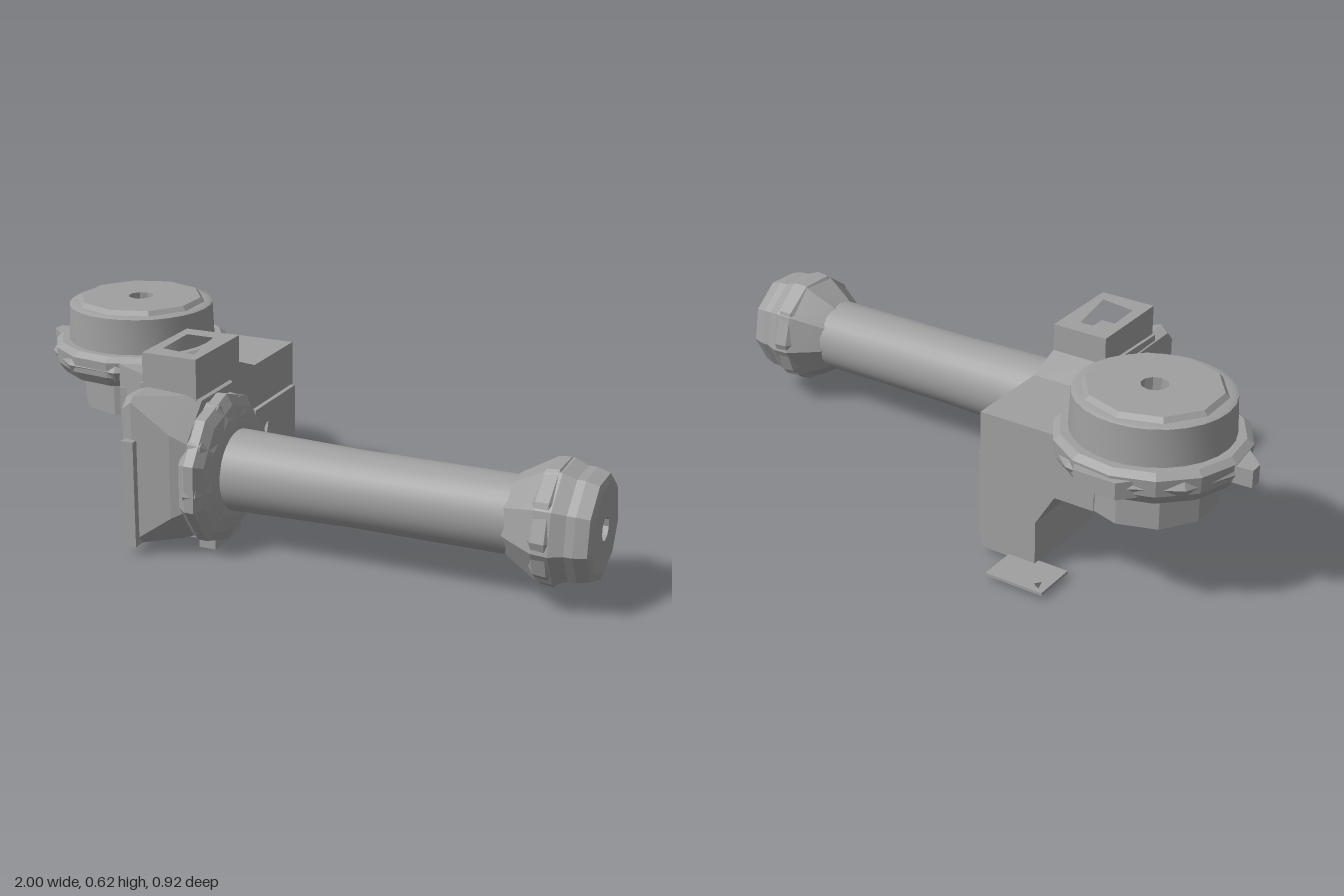
import * as THREE from 'three';
import { toCreasedNormals } from 'three/addons/utils/BufferGeometryUtils.js';

const grey = new THREE.MeshStandardMaterial({ color: 0xa0a0a0 });

export function createModel() {
  const model = new THREE.Group();

  const add = (name, geo, crease = 0.3) => {
    const mesh = new THREE.Mesh(toCreasedNormals(geo, crease), grey);
    mesh.name = name;
    model.add(mesh);
    return mesh;
  };
  // box from its min and max corners
  const box = (name, [x0, y0, z0], [x1, y1, z1]) => add(name,
    new THREE.BoxGeometry(x1 - x0, y1 - y0, z1 - z0)
      .translate((x0 + x1) / 2, (y0 + y1) / 2, (z0 + z1) / 2));
  const shapeOf = (pts, holes) => {
    const s = new THREE.Shape(pts.map(p => new THREE.Vector2(...p)));
    holes.forEach(h => s.holes.push(new THREE.Path(h.map(p => new THREE.Vector2(...p)))));
    return s;
  };
  const extrude = (shape, depth) => new THREE.ExtrudeGeometry(shape, { depth, bevelEnabled: false });
  // [z, y] outline pushed along x
  const extrudeX = (name, pts, x0, x1, holes = []) => {
    const flip = l => l.map(([z, y]) => [-z, y]);
    return add(name, extrude(shapeOf(flip(pts), holes.map(flip)), x1 - x0).rotateY(Math.PI / 2).translate(x0, 0, 0));
  };
  // [x, z] outline pushed along y
  const extrudeY = (name, pts, y0, y1, holes = []) => {
    const flip = l => l.map(([x, z]) => [x, -z]);
    return add(name, extrude(shapeOf(flip(pts), holes.map(flip)), y1 - y0).rotateX(-Math.PI / 2).translate(0, y0, 0));
  };
  const rect = (a0, b0, a1, b1) => [[a0, b0], [a1, b0], [a1, b1], [a0, b1]];
  const ngon = (a, b, r, n, turn = 0) => Array.from({ length: n }, (_, i) => {
    const t = turn + i / n * Math.PI * 2;
    return [a + r * Math.cos(t), b + r * Math.sin(t)];
  });
  const lathe = (profile, n, turn = 0) =>
    new THREE.LatheGeometry(profile.map(p => new THREE.Vector2(...p)), n, turn);
  // [radius, x] profile around the tube axis
  const AY = 0.235, AZ = 0.225;
  const latheX = (name, profile, n, turn, crease, tilt = 0) =>
    add(name, lathe(profile, n, turn).rotateZ(-Math.PI / 2 + tilt).translate(0, AY, AZ), crease);
  // [radius, y] profile around the turret axis
  const TX = -0.67, TZ = -0.165;
  const latheY = (name, profile, n, turn, crease) =>
    add(name, lathe(profile, n, turn).translate(TX, 0, TZ), crease);

  // long tube, slightly waisted
  latheX('tube', [[0.125, -0.2], [0.124, -0.1], [0.115, 0.25], [0.115, 0.85]], 28, 0, 0.6);

  // faceted knob with a blind hole at the free end
  latheX('knob', [[0.11, 0.73], [0.125, 0.75], [0.178, 0.84], [0.182, 0.89], [0.166, 0.93],
    [0.166, 0.955], [0.155, 0.993], [0.135, 1.0], [0.035, 1.0], [0.035, 0.95], [0, 0.95]], 9, 0.2, 0.2);
  latheX('knobRing', [[0.13, 0.8], [0.18, 0.84], [0.184, 0.88], [0.13, 0.92]], 10, 0, 0.2);

  // flange where the tube meets the housing
  latheX('flange', [[0.1, -0.24], [0.215, -0.22], [0.232, -0.195], [0.232, -0.165],
    [0.2, -0.145], [0.15, -0.13], [0.1, -0.125]], 10, 0.31, 0.2);
  latheX('flangeRing', [[0.15, -0.215], [0.226, -0.2], [0.22, -0.16], [0.17, -0.135], [0.1, -0.13]], 9, 0.1, 0.2);

  // housing body with two cut openings
  const holes = [ngon(-0.125, 0.245, 0.032, 5, Math.PI / 2), [[-0.255, 0.25], [-0.3, 0.275], [-0.272, 0.222]]];
  extrudeX('housing', [[0.325, 0.035], [-0.338, 0.035], [-0.338, 0.47], [-0.06, 0.47], [0.045, 0.51],
    [0.325, 0.5]], -0.4, -0.212, holes);
  extrudeX('sidePlate', rect(-0.325, 0.06, -0.035, 0.33), -0.212, -0.197, holes);

  // pocketed block on top of the housing
  extrudeY('topBlock', rect(-0.39, 0.045, -0.212, 0.325), 0.5, 0.594,
    [[[-0.36, 0.1], [-0.27, 0.1], [-0.24, 0.28], [-0.355, 0.26]]]);

  // nose of the housing: a square that grows chamfers toward the flange
  const section = (x, half, cut) => {
    const k = half - cut;
    return [[half, -k], [half, k], [k, half], [-k, half], [-half, k], [-half, -k], [-k, -half], [k, -half]]
      .map(([z, y]) => [x, 0.259 + y * 1.04, 0.213 + z]);
  };
  const rings = [section(-0.405, 0.212, 0.03), section(-0.37, 0.222, 0.015), section(-0.25, 0.215, 0.09),
    section(-0.2, 0.2, 0.1)];
  const verts = [], tri = (a, b, c) => verts.push(...a, ...b, ...c);
  rings.slice(1).forEach((next, r) => {
    for (let i = 0; i < 8; i++) {
      const j = (i + 1) % 8, low = rings[r];
      tri(low[i], next[j], next[i]);
      tri(low[i], low[j], next[j]);
    }
  });
  for (let i = 1; i < 7; i++) {
    tri(rings[0][0], rings[0][i + 1], rings[0][i]);
    tri(rings[3][0], rings[3][i], rings[3][i + 1]);
  }
  // the loop order above faces inward, so swap two corners of each triangle if needed
  const a = new THREE.Vector3(...verts.slice(0, 3)), b = new THREE.Vector3(...verts.slice(3, 6));
  const c = new THREE.Vector3(...verts.slice(6, 9));
  const normal = b.clone().sub(a).cross(c.clone().sub(a));
  if (normal.dot(a.clone().sub(new THREE.Vector3(-0.3, 0.259, 0.213))) < 0) {
    for (let i = 0; i < verts.length; i += 9) {
      for (let k = 3; k < 6; k++) [verts[i + k], verts[i + k + 3]] = [verts[i + k + 3], verts[i + k]];
    }
  }
  const nose = new THREE.BufferGeometry();
  nose.setAttribute('position', new THREE.Float32BufferAttribute(verts, 3));
  add('housingNose', nose, 0.2);

  // strips and feet on the nose
  box('frontStrip', [-0.395, 0.03, 0.42], [-0.355, 0.36, 0.456]);
  box('leftFoot', [-0.397, 0.0, 0.14], [-0.355, 0.05, 0.31]);
  box('rightFoot', [-0.22, 0.0, 0.14], [-0.165, 0.03, 0.31]);

  // bottom plate with openings, and the small loose plate at the back
  extrudeY('bottomPlate', rect(-0.395, -0.33, -0.212, -0.015), 0.018, 0.035,
    [-0.09, -0.18, -0.27].map(z => ngon(-0.305, z, 0.03, 4, 0.3)));
  extrudeY('backPlate', rect(-0.495, -0.45, -0.305, -0.31), 0.016, 0.025,
    [[[-0.475, -0.435], [-0.45, -0.42], [-0.465, -0.4]]]);

  // arm and gusset joining the housing to the turret
  extrudeY('arm', [[-0.4, 0.21], [-0.6, 0.105], [-0.6, -0.338], [-0.4, -0.338]], 0.385, 0.47);
  const gusset = extrude(shapeOf([[-0.39, 0.15], [-0.462, 0.27], [-0.59, 0.27], [-0.59, 0.4], [-0.39, 0.4]], []), 0.46);
  add('gusset', gusset.translate(0, 0, -0.338));
  const web = extrude(shapeOf([[-0.39, 0.15], [-0.462, 0.27], [-0.462, 0.4], [-0.39, 0.4]], []), 0.07);
  add('gussetWeb', web.translate(0, 0, 0.115));

  // turret: lower block, flange and drum, with a hole right through
  const R = 0.04;
  extrudeY('turretBase', ngon(TX, TZ, 0.195, 10, 0.3), 0.27, 0.4, [ngon(TX, TZ, R, 5)]);
  latheY('turretFlange', [[0.18, 0.385], [0.255, 0.388], [0.278, 0.42], [0.282, 0.47],
    [0.262, 0.486], [0.2, 0.486]], 14, 0.1, 0.2);
  latheY('turretRim', [[0.2, 0.39], [0.27, 0.41], [0.288, 0.44], [0.27, 0.47], [0.2, 0.478]], 10, 0.2, 0.2);
  latheY('turretDrum', [[0.18, 0.48], [0.235, 0.482], [0.23, 0.598], [0.22, 0.603], [0.19, 0.603]], 28, 0, 0.5);
  latheY('turretCap', [[0.18, 0.59], [0.21, 0.6], [0.195, 0.617], [R, 0.617], [R, 0.27]], 10, 0, 0.2);
  latheY('turretUnderside', [[R, 0.386], [0.2, 0.386]], 10, 0, 0.2);

  // wedge lugs on the turret flange
  extrudeY('leftLug', [[-1, -0.205], [-1, -0.165], [-0.935, -0.1], [-0.9, -0.1], [-0.9, -0.21]], 0.415, 0.468);
  extrudeY('backLug', [[-0.725, -0.46], [-0.595, -0.46], [-0.57, -0.41], [-0.77, -0.41]], 0.41, 0.462);

  return model;
}
